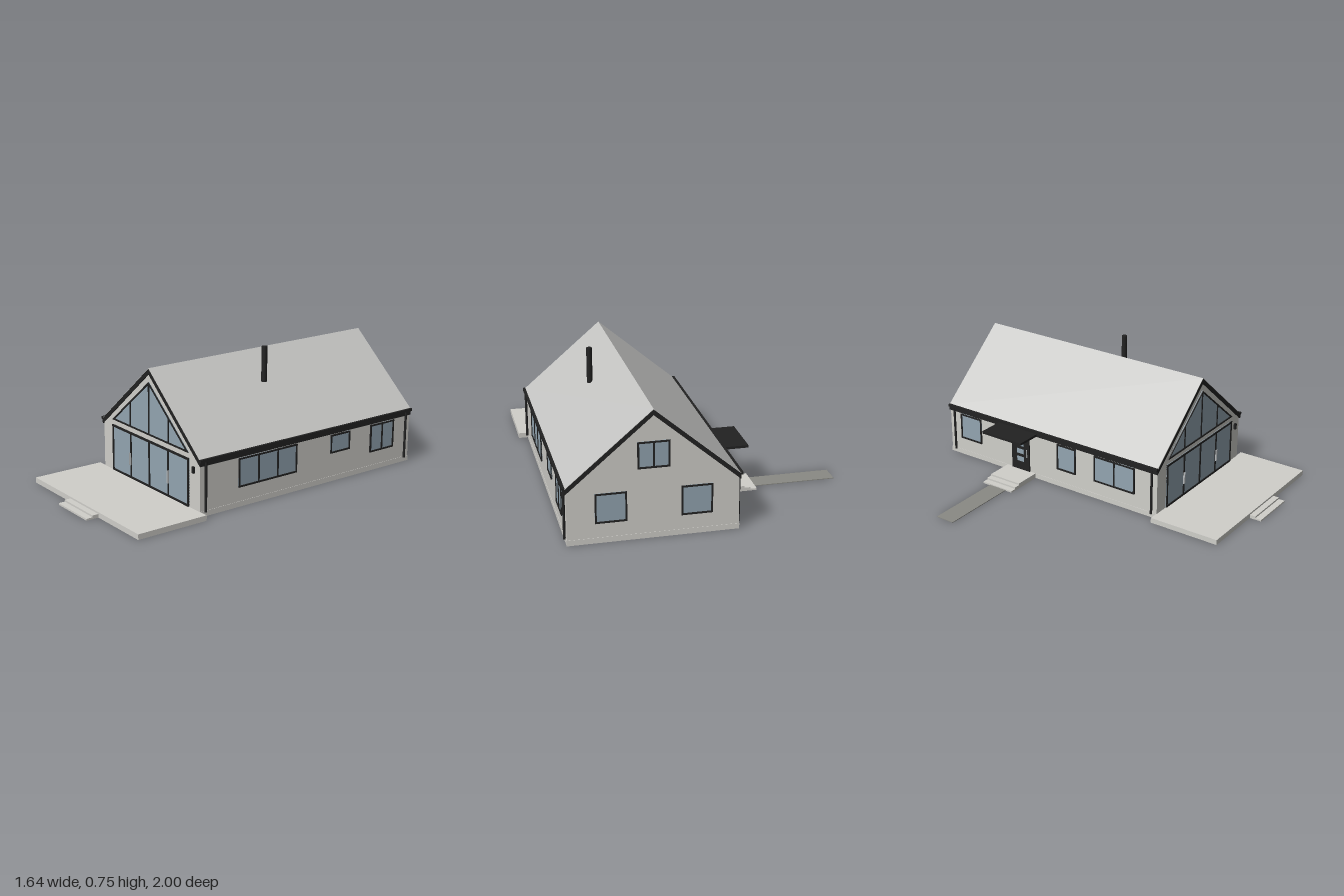
import * as THREE from 'three';

const mat = (name, color) => {
  const m = new THREE.MeshStandardMaterial({ color });
  m.name = name;
  return m;
};

export function createModel() {
  const house = new THREE.Group();
  house.name = 'house';
  const wall = mat('light render', 0xd0cfca);
  const roofGrey = mat('roof grey', 0xc4c4c2);
  const dark = mat('dark metal', 0x222222);
  const glass = mat('glass', 0x93a5b1);
  const paving = mat('path grey', 0x8a8a84);
  const steel = mat('handle steel', 0xb4b8ba);

  const CX = 0.3175, HALF = 0.4475, FRONT = 0.508, BACK = -0.992;

  const add = (parent, name, geometry, material) => {
    const m = new THREE.Mesh(geometry, material);
    m.name = name;
    parent.add(m);
    return m;
  };
  // box given by its min and max on each axis
  const box = (parent, name, material, x0, x1, y0, y1, z0, z1) => {
    const m = add(parent, name, new THREE.BoxGeometry(x1 - x0, y1 - y0, z1 - z0), material);
    m.position.set((x0 + x1) / 2, (y0 + y1) / 2, (z0 + z1) / 2);
    return m;
  };
  const poly = (pts) => new THREE.Shape(pts.map(([x, y]) => new THREE.Vector2(x, y)));
  // outline in x and y, pushed from z0 to z1
  const prism = (parent, name, material, shape, z0, z1) => {
    const g = new THREE.ExtrudeGeometry(shape, { depth: z1 - z0, bevelEnabled: false });
    g.translate(0, 0, z0);
    return add(parent, name, g, material);
  };
  // group on a wall, with its own z pointing out of the wall
  const onWall = (name, x, z, angle) => {
    const g = new THREE.Group();
    g.name = name;
    g.position.set(x, 0, z);
    g.rotation.y = angle;
    house.add(g);
    return g;
  };
  // framed window with equal panes
  const windowUnit = (name, x, z, angle, w, y0, y1, panes, bar = 0.009) => {
    const g = onWall(name, x, z, angle);
    box(g, 'pane', glass, -w / 2, w / 2, y0, y1, -0.004, 0.003);
    for (const [a, b] of [[y0, y0 + bar], [y1 - bar, y1]])
      box(g, 'rail', dark, -w / 2, w / 2, a, b, -0.004, 0.008);
    for (let i = 0; i <= panes; i++) {
      const c = -w / 2 + bar / 2 + (i * (w - bar)) / panes;
      box(g, 'mullion', dark, c - bar / 2, c + bar / 2, y0, y1, -0.004, 0.0075);
    }
    return g;
  };

  // walls and plinth
  const body = prism(house, 'walls', wall,
    poly([[-HALF, 0.02], [HALF, 0.02], [HALF, 0.293], [0, 0.675], [-HALF, 0.293]]), BACK, FRONT);
  body.position.x = CX;
  box(house, 'plinth', wall, CX - HALF - 0.002, CX + HALF + 0.002, 0, 0.03, BACK - 0.002, FRONT);

  // roof: dark slab with a light covering
  const chevron = (half, eave, apex, t) => poly([
    [-half, eave - t], [0, apex - t], [half, eave - t], [half, eave], [0, apex], [-half, eave]]);
  prism(house, 'roofSlab', dark, chevron(0.456, 0.308, 0.696, 0.03), -0.995, 0.514).position.x = CX;
  prism(house, 'roofCover', roofGrey, chevron(0.456, 0.311, 0.699, 0.003), -0.995, 0.513).position.x = CX;

  // gutters and downpipes on both sides
  for (const s of [-1, 1]) {
    const gx = CX + s * 0.459;
    box(house, 'gutter', dark, gx - 0.007, gx + 0.007, 0.301, 0.317, -0.995, 0.514);
    for (const z of [0.475, -0.957]) {
      const pipe = add(house, 'downpipe', new THREE.CylinderGeometry(0.007, 0.007, 0.28, 12), dark);
      pipe.position.set(CX + s * 0.455, 0.165, z);
    }
  }

  // flue
  const flue = add(house, 'flue', new THREE.CylinderGeometry(0.016, 0.016, 0.2, 20), dark);
  flue.position.set(0.487, 0.655, -0.137);

  // front glazed doors with handles
  const doors = windowUnit('frontGlassDoors', CX, FRONT, 0, 0.712, 0.032, 0.298, 4, 0.011);
  for (const s of [-1, 1]) for (const d of [-1, 1]) {
    const x = s * 0.177 + d * 0.005;
    box(doors, 'handle', steel, x - 0.002, x + 0.002, 0.11, 0.18, 0.006, 0.013);
  }

  // triangular gable glazing
  const gable = onWall('gableWindow', CX, FRONT, 0);
  const tri = [[-0.355, 0.328], [0.355, 0.328], [0, 0.622]];
  const inset = tri.map(([x, y]) => [x * 0.935, 0.456 + (y - 0.456) * 0.935]);
  prism(gable, 'gablePane', glass, poly(tri), -0.004, 0.003);
  const frame = poly(tri);
  frame.holes.push(poly(inset));
  prism(gable, 'gableFrame', dark, frame, -0.004, 0.008);
  for (const [x, top] of [[-0.177, 0.47], [0, 0.61], [0.177, 0.47]])
    box(gable, 'mullion', dark, x - 0.004, x + 0.004, 0.33, top, -0.004, 0.0075);

  // side and back windows
  const RX = CX + HALF, LX = CX - HALF, R = Math.PI / 2;
  windowUnit('sideWindowWide', RX, 0.058, R, 0.4, 0.11, 0.272, 3);
  windowUnit('sideWindowSmall', RX, -0.456, R, 0.144, 0.165, 0.272, 1);
  windowUnit('sideWindowDouble', RX, -0.775, R, 0.182, 0.11, 0.272, 2);
  windowUnit('entryWindowBack', LX, -0.83, -R, 0.16, 0.11, 0.272, 1);
  windowUnit('entryWindowMiddle', LX, -0.115, -R, 0.135, 0.11, 0.272, 1);
  windowUnit('entryWindowFront', LX, 0.22, -R, 0.28, 0.11, 0.272, 2);
  windowUnit('backWindowLeft', 0.539, BACK, Math.PI, 0.165, 0.11, 0.272, 1);
  windowUnit('backWindowRight', 0.093, BACK, Math.PI, 0.165, 0.11, 0.272, 1);
  windowUnit('backWindowUpper', CX, BACK, Math.PI, 0.168, 0.386, 0.53, 2);

  // entrance door with small lights
  const door = onWall('entranceDoor', LX, -0.45, -R);
  box(door, 'doorLeaf', dark, -0.065, 0.065, 0.03, 0.255, -0.004, 0.007);
  for (let i = 0; i < 3; i++)
    box(door, 'doorLight', glass, -0.025, 0.025, 0.085 + i * 0.05, 0.115 + i * 0.05, 0.004, 0.009);
  box(door, 'doorHandle', steel, 0.045, 0.05, 0.12, 0.17, 0.005, 0.013);

  // canopy and wall lamps
  box(house, 'canopy', dark, -0.29, LX + 0.01, 0.281, 0.295, -0.61, -0.325);
  box(house, 'entranceLamp', dark, LX - 0.016, LX, 0.23, 0.265, -0.578, -0.562);
  box(house, 'frontLamp', dark, 0.708, 0.724, 0.23, 0.265, FRONT, FRONT + 0.012);

  // terrace and its steps
  box(house, 'terrace', wall, -0.185, 0.82, 0, 0.03, 0.505, 0.928);
  box(house, 'terraceStepUpper', wall, 0.18, 0.455, 0, 0.02, 0.92, 0.963);
  box(house, 'terraceStepLower', wall, 0.18, 0.455, 0, 0.01, 0.96, 1.0);

  // entrance landing, steps and path
  box(house, 'landing', wall, -0.29, LX, 0, 0.03, -0.555, -0.345);
  box(house, 'landingStepUpper', wall, -0.325, -0.285, 0, 0.02, -0.555, -0.345);
  box(house, 'landingStepLower', wall, -0.36, -0.32, 0, 0.01, -0.555, -0.345);
  box(house, 'path', paving, -0.825, -0.355, 0, 0.004, -0.505, -0.39);

  return house;
}
